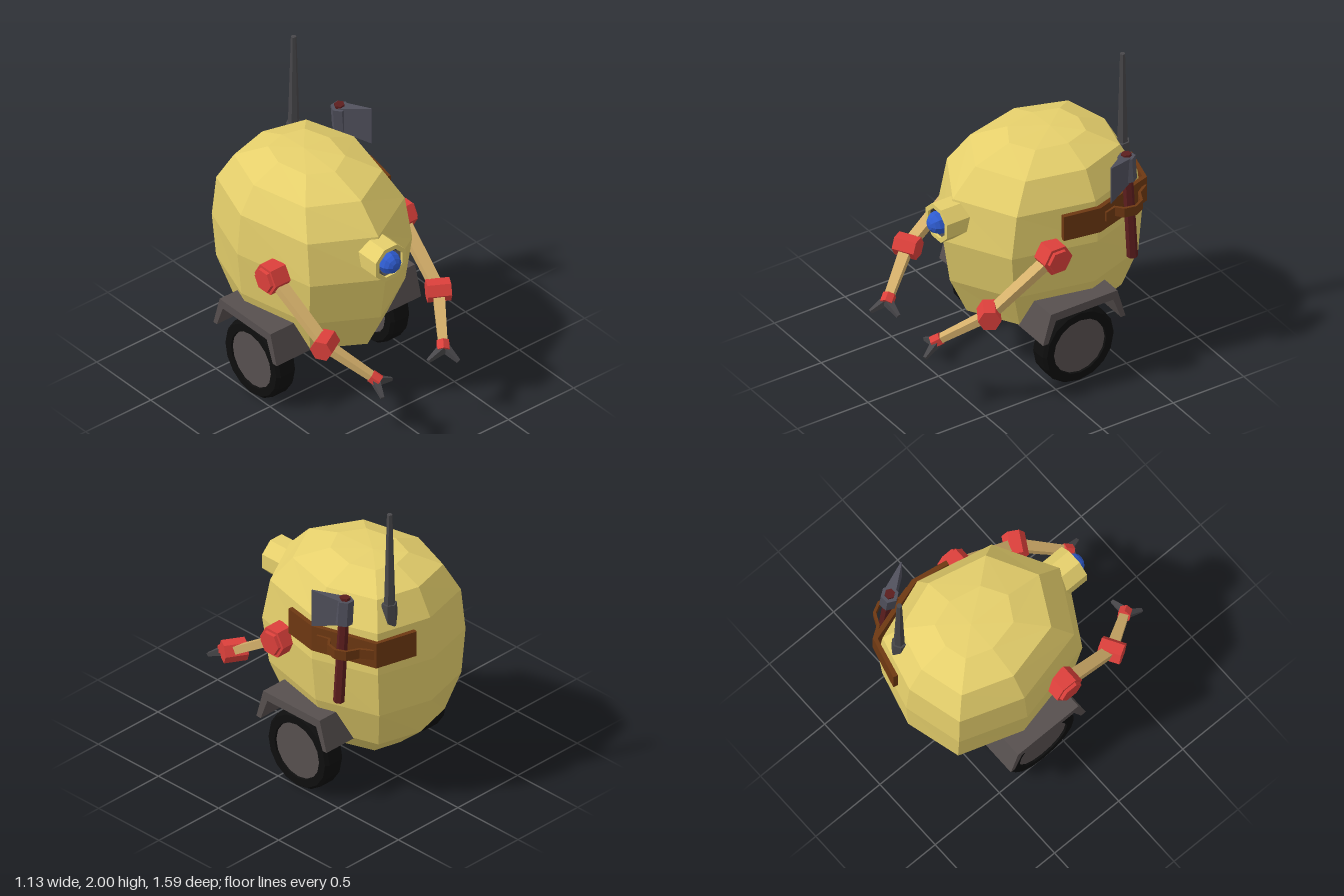
import * as THREE from 'three';

const V = (x, y, z) => new THREE.Vector3(x, y, z);
const mats = {};
for (const [k, color] of Object.entries({
  shell: 0xe6d06c, red: 0xdc403b, tan: 0xd4af6a, dark: 0x48474a, fender: 0x57504f, tyre: 0x0e0e0e,
  hub: 0x57504f, blue: 0x2f5cd0, strap: 0x6e3812, handle: 0x5c1e1e, steel: 0x50505c,
})) mats[k] = new THREE.MeshStandardMaterial({ color, flatShading: true });

function add(parent, name, geo, mat) {
  const m = new THREE.Mesh(geo, mats[mat]);
  m.name = name;
  parent.add(m);
  return m;
}

// Prism from a to b; flat > 1 widens it sideways
function bar(parent, name, mat, a, b, r1, r2, sides = 6, turn = 0, flat = 1) {
  const len = a.distanceTo(b);
  const geo = new THREE.CylinderGeometry(r2, r1, len, sides)
    .rotateY(turn).rotateX(Math.PI / 2).translate(0, 0, len / 2).scale(flat, 1, 1);
  const m = add(parent, name, geo, mat);
  m.position.copy(a);
  m.lookAt(b);
  return m;
}

// Egg-shaped shell: eight-sided rings of [y, half width, front z, back z]
function shellGeometry() {
  const mid = -0.29;
  const rings = [
    [1.495, 0, mid, mid], [1.48, 0.195, 0, -0.49], [1.4, 0.385, 0.24, -0.675],
    [1.228, 0.485, 0.4, -0.77], [0.955, 0.51, 0.467, -0.795], [0.655, 0.478, 0.42, -0.78],
    [0.395, 0.385, 0.3, -0.69], [0.245, 0.24, 0.06, -0.52], [0.19, 0, mid, mid],
  ];
  // Unit outline: x factor, depth factor (positive to the front)
  const outline = [[0, 1], [0.77, 0.7], [1, 0], [0.72, -0.81], [0, -1], [-0.72, -0.81], [-1, 0], [-0.77, 0.7]];
  const pos = [], idx = [];
  for (const [y, hx, zf, zb] of rings)
    for (const [u, w] of outline) pos.push(u * hx, y, mid + (w > 0 ? w * (zf - mid) : w * (mid - zb)));
  for (let i = 0; i < rings.length - 1; i++) {
    for (let j = 0; j < 8; j++) {
      const a = i * 8 + j, d = i * 8 + (j + 1) % 8, b = a + 8, c = d + 8;
      if (i < rings.length - 2) idx.push(a, b, c);
      if (i > 0) idx.push(a, c, d);
      else idx[idx.length - 1] = c;
      if (i === rings.length - 2) continue;
    }
  }
  const g = new THREE.BufferGeometry();
  g.setAttribute('position', new THREE.Float32BufferAttribute(pos, 3));
  g.setIndex(idx);
  g.computeVertexNormals();
  return g;
}

// Upright band of thickness t following an [x, z] path
function bandGeometry(path, t, y0, y1) {
  const side = (s) => path.map(([x, z], i) => {
    const p = path[Math.max(i - 1, 0)], q = path[Math.min(i + 1, path.length - 1)];
    const n = new THREE.Vector2(q[1] - p[1], p[0] - q[0]).normalize().multiplyScalar(s * t / 2);
    return new THREE.Vector2(x + n.x, -(z + n.y));
  });
  const shape = new THREE.Shape([...side(1), ...side(-1).reverse()]);
  return new THREE.ExtrudeGeometry(shape, { depth: y1 - y0, bevelEnabled: false })
    .rotateX(-Math.PI / 2).translate(0, y0, 0);
}

const lathe = (pts, n, start = 0) => new THREE.LatheGeometry(pts.map(([r, y]) => new THREE.Vector2(r, y)), n, start);

function addArm(root, s) {
  const arm = new THREE.Group();
  arm.name = s > 0 ? 'leftArm' : 'rightArm';
  root.add(arm);
  const P = (x, y, z) => V(s * x, y, z);
  const shoulder = P(0.485, 0.95, 0.01), elbow = P(0.435, 0.66, 0.43), wrist = P(0.26, 0.475, 0.685);
  bar(arm, 'shoulder', 'red', P(0.43, 0.95, 0.01), P(0.545, 0.95, 0.01), 0.098, 0.098, 6, Math.PI / 6);
  bar(arm, 'shoulderCap', 'red', P(0.54, 0.95, 0.01), P(0.565, 0.95, 0.01), 0.08, 0.075, 6, Math.PI / 6);
  bar(arm, 'upperArm', 'tan', shoulder, elbow, 0.037, 0.033, 4, Math.PI / 4, 1.5);
  const axis = P(0.062, 0, 0.036);
  bar(arm, 'elbow', 'red', elbow.clone().sub(axis), elbow.clone().add(axis), 0.07, 0.07, 6, Math.PI / 6);
  bar(arm, 'forearm', 'tan', elbow, wrist, 0.036, 0.027, 4, Math.PI / 4, 1.4);
  // Wrist and two-fingered claw
  const dir = wrist.clone().sub(elbow).normalize();
  bar(arm, 'wrist', 'red', wrist.clone().addScaledVector(dir, -0.03), wrist.clone().addScaledVector(dir, 0.03), 0.042, 0.042);
  bar(arm, 'innerFinger', 'dark', P(0.25, 0.465, 0.695), P(0.14, 0.42, 0.69), 0.034, 0.014, 4, Math.PI / 4);
  bar(arm, 'outerFinger', 'dark', P(0.265, 0.465, 0.69), P(0.292, 0.405, 0.79), 0.034, 0.014, 4, Math.PI / 4);
}

function addWheel(root, s) {
  const wheel = new THREE.Group();
  wheel.name = s > 0 ? 'leftWheel' : 'rightWheel';
  root.add(wheel);
  const tyre = lathe([[0.18, -0.055], [0.185, -0.072], [0.235, -0.072], [0.252, -0.05], [0.252, 0.05],
    [0.235, 0.072], [0.185, 0.072], [0.18, 0.055]], 16);
  add(wheel, 'tyre', tyre, 'tyre');
  add(wheel, 'hub', new THREE.CylinderGeometry(0.183, 0.183, 0.12, 16), 'hub');
  wheel.rotation.z = Math.PI / 2;
  wheel.position.set(s * 0.438, 0.253, -0.165);

  // Mudguard: bent plate over the wheel, reaching into the shell
  const pts = [[0.127, 0.39], [0.07, 0.59], [-0.4, 0.59], [-0.457, 0.39], [-0.425, 0.39], [-0.37, 0.535], [0.035, 0.535], [0.09, 0.39]];
  const shape = new THREE.Shape(pts.map(([z, y]) => new THREE.Vector2(-z, y)));
  const geo = new THREE.ExtrudeGeometry(shape, { depth: 0.3, bevelEnabled: false })
    .rotateY(Math.PI / 2).translate(s > 0 ? 0.255 : -0.555, 0, 0);
  add(root, s > 0 ? 'leftMudguard' : 'rightMudguard', geo, 'fender');
}

function addAxe(root) {
  const axe = new THREE.Group();
  axe.name = 'axe';
  root.add(axe);
  const bottom = V(0.523, 0.77, -0.527), top = V(0.465, 1.472, -0.522);
  bar(axe, 'axeHandle', 'handle', bottom, top, 0.034, 0.032);
  bar(axe, 'axeSocket', 'steel', bottom.clone().lerp(top, 0.75), bottom.clone().lerp(top, 0.975), 0.055, 0.055);
  // Blade: flares in height and thins towards its edge
  const L = 0.2, blade = new THREE.BoxGeometry(0.075, 0.16, L).translate(0, 0, L / 2);
  const p = blade.attributes.position;
  for (let i = 0; i < p.count; i++)
    if (p.getZ(i) > 0.1) p.setXYZ(i, p.getX(i) * 0.1, p.getY(i) > 0 ? 0.11 : -0.14, L);
  blade.computeVertexNormals();
  const m = add(axe, 'axeBlade', blade, 'steel');
  m.position.set(0.472, 1.377, -0.522);
  m.rotation.y = 0.49;
}

export function createModel() {
  const root = new THREE.Group();
  root.name = 'robot';
  add(root, 'body', shellGeometry(), 'shell');

  // Eye: hollow octagonal housing, dark socket and ball
  const eye = new THREE.Group();
  eye.name = 'eye';
  root.add(eye);
  add(eye, 'eyeHousing', lathe([[0.125, 0], [0.125, 0.215], [0.095, 0.215], [0.09, 0.16]], 8, Math.PI / 8), 'shell');
  add(eye, 'eyeSocket', lathe([[0.093, 0.2], [0.08, 0.15], [0, 0.15]], 8, Math.PI / 8), 'dark');
  add(eye, 'eyeBall', new THREE.SphereGeometry(0.072, 8, 8), 'blue').position.y = 0.2;
  eye.rotation.x = Math.PI / 2;
  eye.position.set(0, 1.1, 0.3);

  for (const s of [1, -1]) {
    addArm(root, s);
    addWheel(root, s);
  }

  // Antenna
  bar(root, 'antennaBase', 'dark', V(0.225, 1.24, -0.657), V(0.225, 1.38, -0.652), 0.05, 0.047);
  bar(root, 'antenna', 'dark', V(0.225, 1.36, -0.655), V(0.225, 2, -0.655), 0.035, 0.017);

  // Axe held by a belt and a loop
  addAxe(root);
  add(root, 'belt', bandGeometry([[0.125, -0.77], [0.385, -0.705], [0.508, -0.3], [0.468, -0.07]], 0.03, 1.025, 1.195), 'strap');
  add(root, 'axeLoop', bandGeometry([[0.4, -0.7], [0.45, -0.625], [0.525, -0.59], [0.555, -0.53],
    [0.54, -0.46], [0.495, -0.42], [0.515, -0.34]], 0.018, 1.085, 1.148), 'strap');
  return root;
}
